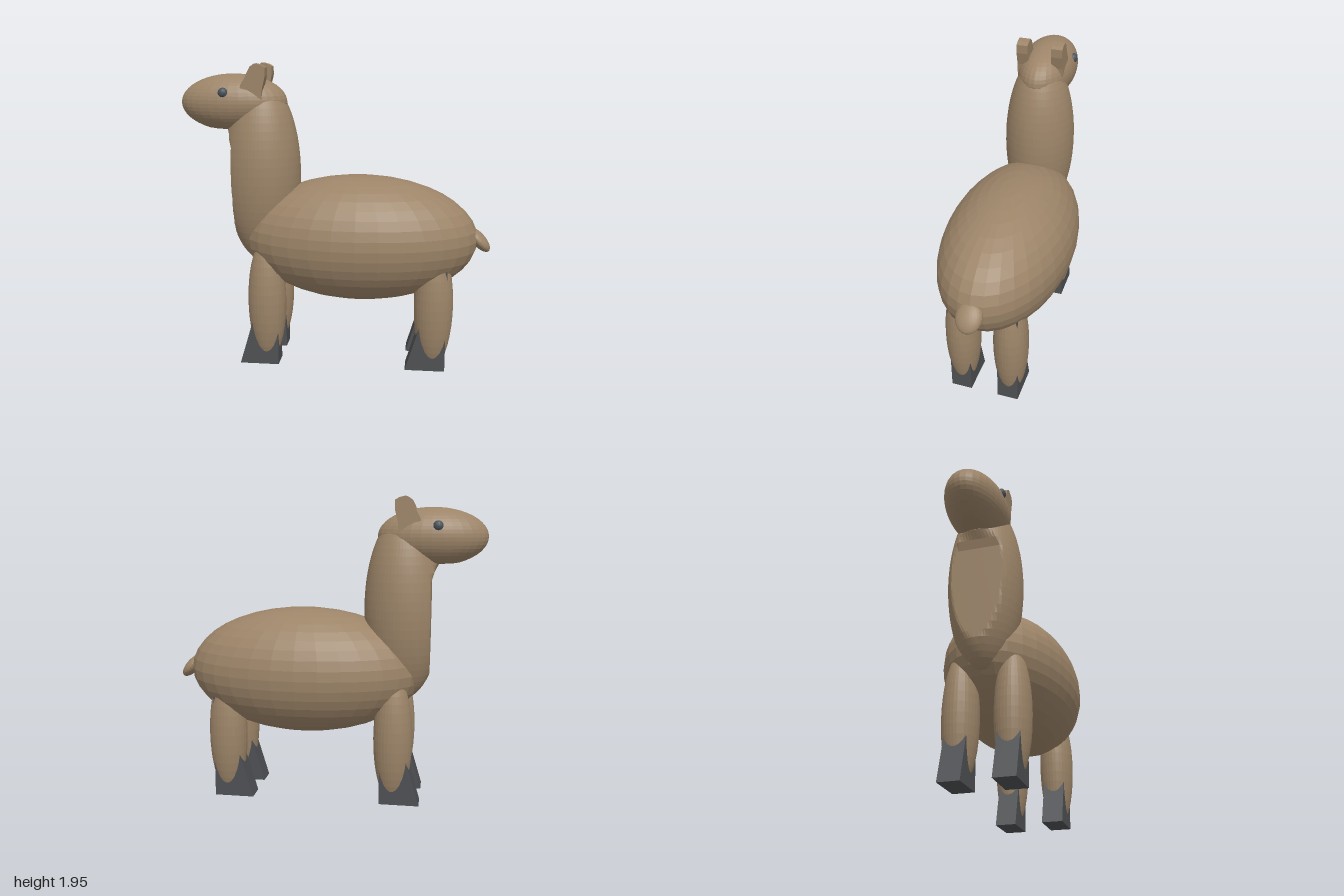
import * as THREE from 'three';

const fur = new THREE.MeshStandardMaterial({ color: 0x9c8468, flatShading: true });
const horn = new THREE.MeshStandardMaterial({ color: 0x4e5053, flatShading: true });
const eyeDark = new THREE.MeshStandardMaterial({ color: 0x4a525a, flatShading: true });

function add(group, name, geometry, material, position = [0, 0, 0]) {
  const mesh = new THREE.Mesh(geometry, material);
  mesh.name = name;
  mesh.position.set(...position);
  group.add(mesh);
  return mesh;
}

// Ellipsoid from half sizes, already placed at its centre
function ellipsoid(center, radii, w = 32, h = 20) {
  return new THREE.SphereGeometry(1, w, h).scale(...radii).translate(...center);
}

// Moves every vertex by a rule
function reshape(geometry, rule) {
  const p = geometry.attributes.position;
  const v = new THREE.Vector3();
  for (let i = 0; i < p.count; i++) {
    v.fromBufferAttribute(p, i);
    rule(v);
    p.setXYZ(i, v.x, v.y, v.z);
  }
  geometry.computeVertexNormals();
  return geometry;
}

// Side outline in x/y, extruded along z and centred on z = 0
function slab(points, depth) {
  const shape = new THREE.Shape(points.map(([x, y]) => new THREE.Vector2(x, y)));
  return new THREE.ExtrudeGeometry(shape, { depth, bevelEnabled: false }).translate(0, 0, -depth / 2);
}

export function createModel() {
  const model = new THREE.Group();

  add(model, 'body', ellipsoid([0.16, 0.83, 0], [0.765, 0.41, 0.415]), fur);

  // Neck with a flat front that curves out under the jaw
  const neck = reshape(ellipsoid([-0.48, 1.25, 0], [0.25, 0.6, 0.23], 64, 32), (v) => {
    const r = 0.115;
    const rise = THREE.MathUtils.clamp(v.y - 1.42, 0, r);
    const limit = -0.655 - (r - Math.sqrt(r * r - rise * rise));
    v.x = Math.max(v.x, limit);
  });
  add(model, 'neck', neck, fur);

  // Head with a flattened jaw
  const head = reshape(ellipsoid([-0.655, 1.7, 0], [0.345, 0.183, 0.185], 32, 24), (v) => {
    v.y = Math.max(v.y, 1.535);
  });
  add(model, 'head', head, fur);

  // Tail, tilted down and back
  const tail = add(model, 'tail', ellipsoid([0, 0, 0], [0.1, 0.043, 0.082], 24, 16), fur, [0.932, 0.83, 0]);
  tail.rotation.z = -0.82;

  const earOutline = [
    [-0.585, 1.8], [-0.45, 1.73], [-0.445, 1.79], [-0.425, 1.87], [-0.425, 1.925],
    [-0.45, 1.94], [-0.49, 1.95], [-0.52, 1.93], [-0.555, 1.86], [-0.58, 1.82],
  ];
  // Wedge running up inside the leg
  const hoofOutline = [[-0.175, 0], [0.08, 0], [0.08, 0.67], [0.025, 0.67]];

  for (const [side, s] of [['left', 1], ['right', -1]]) {
    add(model, side + 'Eye', ellipsoid([0, 0, 0], [0.032, 0.032, 0.026], 16, 12), eyeDark, [-0.69, 1.77, s * 0.163]);
    add(model, side + 'Ear', slab(earOutline, 0.073), fur, [0, 0, s * 0.114]);

    for (const [end, x] of [['Front', -0.435], ['Hind', 0.65]]) {
      add(model, side + end + 'Leg', ellipsoid([0, 0, 0], [0.125, 0.42, 0.111]), fur, [x, 0.42, s * 0.159]);
      add(model, side + end + 'Hoof', slab(hoofOutline, 0.136), horn, [x, 0, s * 0.158]);
    }
  }
  return model;
}
